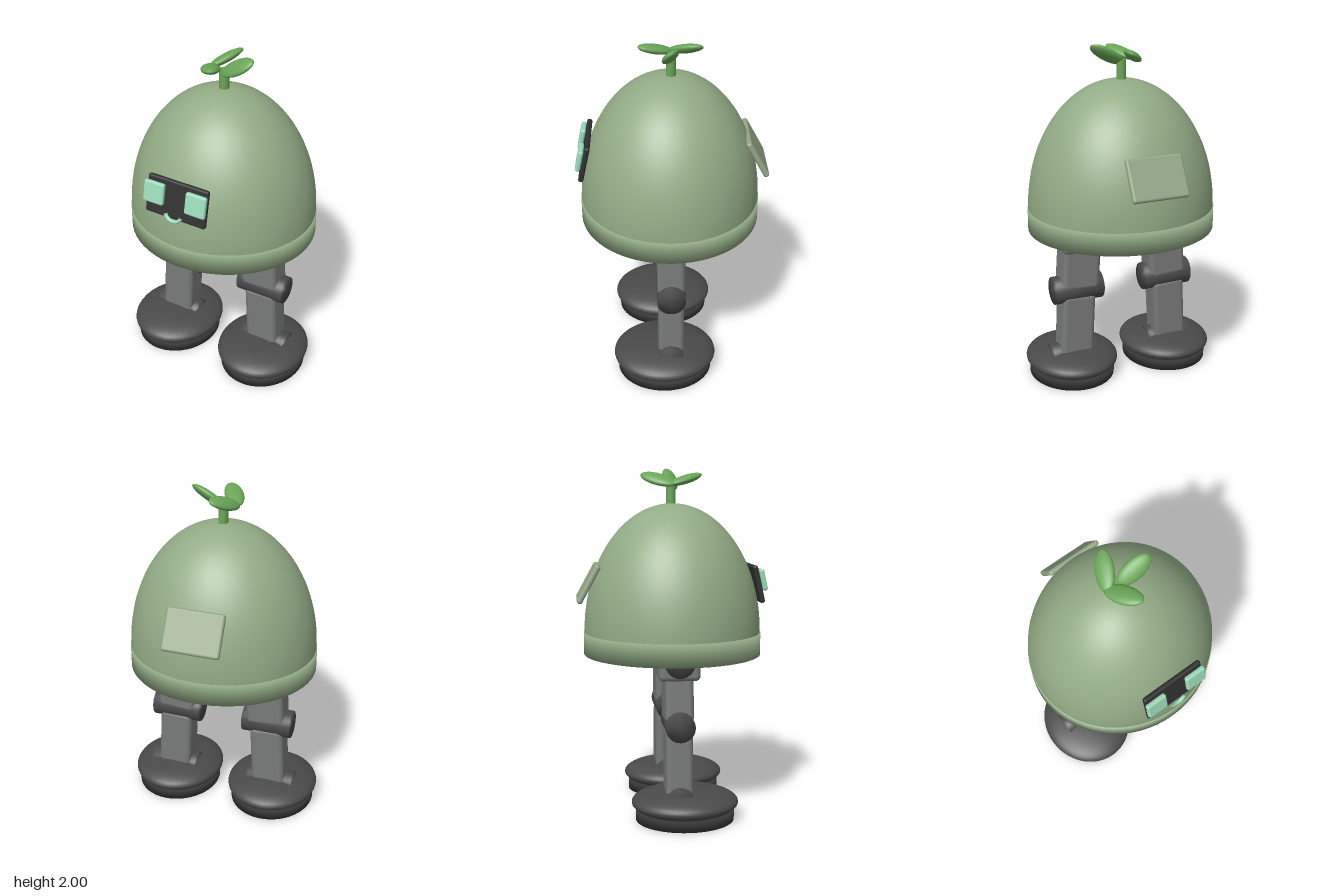
import * as THREE from 'three';
import { RoundedBoxGeometry } from 'three/addons/geometries/RoundedBoxGeometry.js';

const mat = (name, color) => {
  const m = new THREE.MeshStandardMaterial({ color });
  m.name = name;
  return m;
};

export function createModel() {
  const sage = mat('sage green', 0x93ab86);
  const hatchGreen = mat('hatch green', 0x94a687);
  const grey = mat('leg grey', 0x787a79);
  const dark = mat('joint charcoal', 0x4a4a4a);
  const rubber = mat('sole black', 0x363636);
  const visorBlack = mat('visor black', 0x303031);
  const mint = mat('mint', 0x9cdabb);
  const leafGreen = mat('leaf green', 0x6aa557);

  const root = new THREE.Group();
  root.name = 'sproutRobot';
  const add = (parent, name, geo, material, x = 0, y = 0, z = 0) => {
    const m = new THREE.Mesh(geo, material);
    m.name = name;
    m.position.set(x, y, z);
    parent.add(m);
    return m;
  };
  const box = (w, h, d, r) => new RoundedBoxGeometry(w, h, d, 3, r);
  // Closed drum whose shading runs smoothly over its rims
  const drum = (r, h, sides) => new THREE.LatheGeometry(
    [[0, -h / 2], [r, -h / 2], [r, h / 2], [0, h / 2]].map(([x, y]) => new THREE.Vector2(x, y)), sides);

  // Egg-shaped body: half ellipsoid over a shallow drum
  const dome = add(root, 'dome', new THREE.SphereGeometry(1, 64, 32, 0, Math.PI * 2, 0, Math.PI / 2), sage, 0, 1.05, 0.007);
  dome.scale.set(0.551, 0.75, 0.518);
  const skirt = add(root, 'skirt', drum(1, 0.13, 64), sage, 0, 0.985, 0.007);
  skirt.scale.set(0.555, 1, 0.522);

  // Face panel, tilted to follow the dome
  const face = new THREE.Group();
  face.name = 'face';
  face.position.set(0, 1.337, 0.492);
  face.rotation.x = -0.22;
  root.add(face);
  add(face, 'visor', box(0.38, 0.22, 0.03, 0.012), visorBlack);
  for (const s of [-1, 1]) add(face, 'eye', box(0.128, 0.125, 0.03, 0.012), mint, s * 0.132, 0.02, 0.03);
  const mouth = add(face, 'mouth', new THREE.TorusGeometry(0.053, 0.011, 12, 24, Math.PI * 0.8), mint, 0, -0.062, 0.028);
  mouth.rotation.z = Math.PI * 1.1;

  // Back hatch
  const hatch = add(root, 'backHatch', box(0.337, 0.245, 0.034, 0.015), hatchGreen, 0, 1.342, -0.487);
  hatch.rotation.x = 0.5;

  // Sprout: a stem and three leaves, each rolled a little about its length
  add(root, 'stem', new THREE.CylinderGeometry(0.028, 0.028, 0.13, 20), leafGreen, 0, 1.845, 0);
  const leaves = [
    { pos: [0.085, 1.94, 0.005], dir: [0.86, 0.48, 0], roll: 0.6 },
    { pos: [-0.035, 1.937, -0.079], dir: [0.46, 0.27, -0.84], roll: -0.45 },
    { pos: [-0.035, 1.937, 0.084], dir: [0.46, 0.27, 0.84], roll: 0 },
  ];
  for (const { pos, dir, roll } of leaves) {
    const leaf = add(root, 'leaf', new THREE.SphereGeometry(1, 24, 16), leafGreen, ...pos);
    leaf.scale.set(0.112, 0.025, 0.054);
    const along = new THREE.Vector3(...dir).normalize();
    const across = new THREE.Vector3().crossVectors(along, new THREE.Vector3(0, 1, 0)).normalize();
    const normal = new THREE.Vector3().crossVectors(across, along);
    leaf.quaternion.setFromRotationMatrix(new THREE.Matrix4().makeBasis(along, normal, across));
    leaf.rotateX(roll);
  }

  // Legs, built for each side
  for (const s of [-1, 1]) {
    const leg = new THREE.Group();
    leg.name = s > 0 ? 'leftLeg' : 'rightLeg';
    root.add(leg);
    const z = 0.008;
    const joint = (name, x, y, r, len) => {
      add(leg, name, drum(r, len, 32), dark, s * x, y, z).rotation.z = Math.PI / 2;
    };
    joint('hipJoint', 0.263, 0.92, 0.085, 0.296);
    add(leg, 'hipBlock', box(0.272, 0.16, 0.235, 0.03), grey, s * 0.268, 0.895, z);
    add(leg, 'thigh', box(0.232, 0.34, 0.163, 0.03), grey, s * 0.275, 0.735, z).rotation.z = s * 0.07;
    joint('kneeJoint', 0.289, 0.56, 0.084, 0.298);
    add(leg, 'shin', box(0.205, 0.42, 0.155, 0.03), grey, s * 0.302, 0.325, z).rotation.z = s * 0.05;
    joint('ankleJoint', 0.317, 0.13, 0.08, 0.285);

    // Foot: flattened dome on a flat sole
    const foot = add(leg, 'foot', new THREE.SphereGeometry(1, 48, 24), dark, s * 0.313, 0.103, 0.047);
    foot.scale.set(0.275, 0.081, 0.307);
    const sole = add(leg, 'sole', drum(1, 0.056, 48), rubber, s * 0.313, 0.028, 0.047);
    sole.scale.set(0.255, 1, 0.283);
  }
  return root;
}
